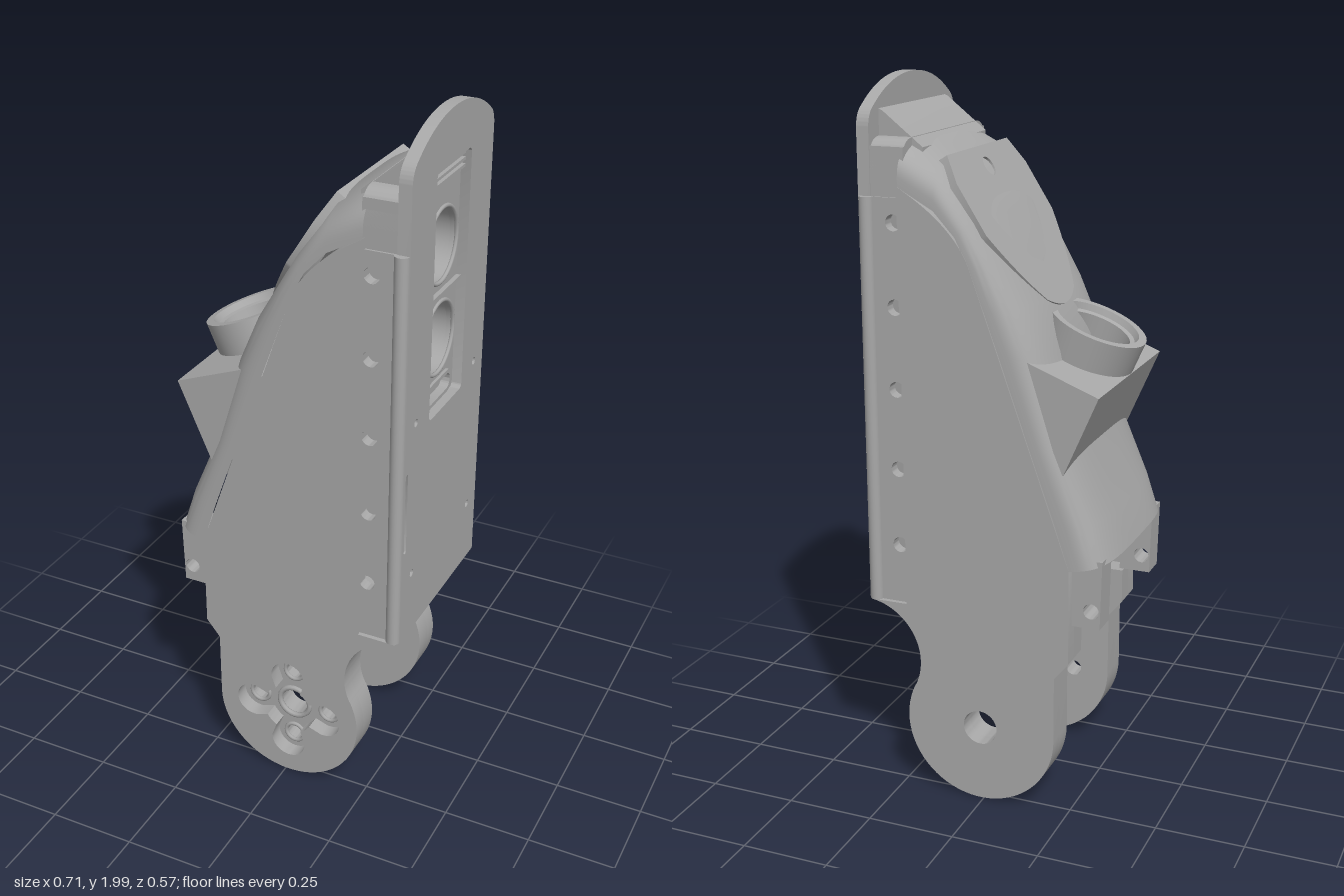
import * as THREE from 'three';
import { toCreasedNormals, mergeVertices } from 'three/addons/utils/BufferGeometryUtils.js';

const grey = new THREE.MeshStandardMaterial({ color: 0xa8a8a8, side: THREE.DoubleSide });
grey.name = 'housing grey';

const V = (x, y) => new THREE.Vector2(x, y);
const poly = (pts) => new THREE.Shape(pts.map(([x, y]) => V(x, y)));

function circleHole(shape, x, y, r) {
  shape.holes.push(new THREE.Path().absarc(x, y, r, 0, Math.PI * 2, true));
}

function roundedRect(path, w, h, x, y, r) {
  const c = [[w / 2 - r, h / 2 - r, 0], [r - w / 2, h / 2 - r, 1], [r - w / 2, r - h / 2, 2], [w / 2 - r, r - h / 2, 3]];
  c.forEach(([cx, cy, q]) => path.absarc(x + cx, y + cy, r, q * Math.PI / 2, (q + 1) * Math.PI / 2, false));
  path.closePath();
  return path;
}

export function createModel() {
  const model = new THREE.Group();
  const add = (name, geometry) => {
    const mesh = new THREE.Mesh(geometry, grey);
    mesh.name = name;
    model.add(mesh);
    return mesh;
  };
  const extrude = (shape, depth) => toCreasedNormals(
    new THREE.ExtrudeGeometry(shape, { depth, bevelEnabled: false, curveSegments: 20 }), 0.5);
  // Profile in x,y pushed along z
  const slab = (name, shape, z0, z1) => add(name, extrude(shape, z1 - z0).translate(0, 0, z0));
  // Symmetric profile in z,y pushed along x
  const panel = (name, shape, x0, x1) => add(name, extrude(shape, x1 - x0).rotateY(Math.PI / 2).translate(x0, 0, 0));
  const box = (name, x0, x1, y0, y1, z0, z1) => add(name, new THREE.BoxGeometry(x1 - x0, y1 - y0, z1 - z0)
    .translate((x0 + x1) / 2, (y0 + y1) / 2, (z0 + z1) / 2));

  // Side walls and legs
  const hub = [0.01, 0.23];
  const legOutline = (full) => {
    const s = new THREE.Shape();
    s.moveTo(-0.25, 0.47);
    s.lineTo(-0.21, 0.42);
    s.absarc(hub[0], hub[1], 0.22, Math.PI, Math.PI * 2 + 0.452, false);
    s.absarc(0.36, 0.40, 0.17, Math.PI + 0.452, 1.69, true);
    if (full) {
      s.lineTo(0.23, 0.57);
      s.lineTo(0.23, 1.73);
      s.quadraticCurveTo(0.07, 1.64, 0.03, 1.53);
      s.lineTo(-0.25, 0.74);
    } else s.lineTo(-0.25, 0.57);
    s.closePath();
    return s;
  };
  // Four-lobed pocket
  const clover = [];
  for (let i = 0; i < 96; i++) {
    const a = -i / 96 * Math.PI * 2;
    const phi = a - Math.round(a / (Math.PI / 2)) * Math.PI / 2;
    const d = 0.112, rho = 0.053, q = rho * rho - (d * Math.sin(phi)) ** 2;
    const r = Math.max(0.078, q > 0 ? d * Math.cos(phi) + Math.sqrt(q) : 0);
    clover.push(V(hub[0] + r * Math.cos(a), hub[1] + r * Math.sin(a)));
  }
  const frontWall = legOutline(true);
  frontWall.holes.push(new THREE.Path(clover));
  slab('frontSideWall', frontWall, 0.235, 0.28);
  const frontLeg = legOutline(false);
  circleHole(frontLeg, ...hub, 0.042);
  for (let i = 0; i < 4; i++) {
    const a = i * Math.PI / 2;
    const x = hub[0] + 0.112 * Math.cos(a), y = hub[1] + 0.112 * Math.sin(a);
    circleHole(frontLeg, x, y, 0.024);
    // Raised rings in the pocket lobes
    add('boltSeat', new THREE.TorusGeometry(0.029, 0.006, 8, 24).translate(x, y, 0.236));
  }
  slab('frontLeg', frontLeg, 0.175, 0.235);
  add('hubRing', new THREE.TorusGeometry(0.048, 0.008, 8, 24).translate(...hub, 0.236));
  const backWall = legOutline(true), backLeg = legOutline(false);
  [backWall, backLeg].forEach((s) => circleHole(s, ...hub, 0.05));
  slab('backSideWall', backWall, -0.28, -0.235);
  slab('backLeg', backLeg, -0.235, -0.175);
  box('floor', -0.2, 0.33, 0.57, 0.585, -0.24, 0.24);

  // Curved cover: [edge x, edge y, ridge x, ridge y, squareness]
  const stations = [
    [-0.25, 0.74, -0.355, 0.76, 3.6], [-0.21, 0.86, -0.32, 0.865, 3.6], [-0.135, 1.07, -0.235, 1.06, 3.4],
    [-0.05, 1.31, -0.17, 1.30, 3.2], [-0.01, 1.42, -0.115, 1.43, 3], [0.03, 1.53, -0.04, 1.55, 3],
    [0.07, 1.61, 0.02, 1.65, 3], [0.13, 1.675, 0.13, 1.80, 3.2], [0.23, 1.73, 0.23, 1.85, 3.2],
  ];
  const N = 36, pos = [], idx = [];
  stations.forEach(([ex, ey, rx, ry, n], j) => {
    for (let i = 0; i <= N; i++) {
      const t = (i / N - 0.5) * Math.PI;
      const z = 0.279 * Math.sign(t) * Math.abs(Math.sin(t)) ** (2 / n);
      const k = Math.max(0, Math.cos(t)) ** (2 / n);
      pos.push(ex + (rx - ex) * k, ey + (ry - ey) * k, z);
      if (j && i) {
        const b = j * (N + 1) + i, a = b - N - 1;
        idx.push(a - 1, a, b, a - 1, b, b - 1);
      }
    }
  });
  const cover = new THREE.BufferGeometry();
  cover.setAttribute('position', new THREE.Float32BufferAttribute(pos, 3));
  cover.setIndex(idx);
  add('cover', toCreasedNormals(mergeVertices(cover), 0.6));

  // Flat raised panel on the upper cover, with a round hole
  const raised = new THREE.Shape();
  raised.moveTo(-0.1, 0.03);
  raised.quadraticCurveTo(0, -0.03, 0.1, 0.03);
  raised.quadraticCurveTo(0.18, 0.12, 0.235, 0.25);
  raised.lineTo(0.235, 0.40);
  raised.lineTo(0.2, 0.48);
  raised.lineTo(-0.2, 0.48);
  raised.lineTo(-0.235, 0.40);
  raised.lineTo(-0.235, 0.25);
  raised.quadraticCurveTo(-0.18, 0.12, -0.1, 0.03);
  circleHole(raised, 0, 0.42, 0.027);
  const slope = new THREE.Vector3(0.26, 0.41, 0).normalize();
  const basis = new THREE.Matrix4().makeBasis(new THREE.Vector3(0, 0, 1), slope,
    new THREE.Vector3(-slope.y, slope.x, 0)).setPosition(-0.13, 1.40, 0);
  add('raisedPanel', extrude(raised, 0.07).translate(0, 0, -0.066).applyMatrix4(basis));

  // Wedge-shaped bracket and the tilted eyepiece tube
  slab('wedge', poly([[-0.225, 1.0], [-0.1, 1.03], [-0.04, 1.28], [-0.1, 1.305], [-0.32, 1.22]]), -0.262, 0.262);
  const tubeProfile = [[0.135, -0.15], [0.14, 0], [0.118, 0], [0.112, -0.018], [0.1, -0.022], [0.1, -0.1], [0, -0.1]];
  const tube = add('eyepieceTube', toCreasedNormals(
    new THREE.LatheGeometry(tubeProfile.map(([r, y]) => V(r, y)), 40), 0.5));
  tube.position.set(-0.225, 1.355, 0);
  tube.rotation.z = 0.38;

  for (const s of [-1, 1]) {
    // Screw clips below the cover
    const clip = poly([[-0.33, 0.575], [-0.24, 0.575], [-0.24, 0.77], [-0.335, 0.77]]);
    circleHole(clip, -0.305, 0.625, 0.022);
    slab('screwClip', clip, s > 0 ? 0.18 : -0.255, s > 0 ? 0.255 : -0.18);

    // Perforated strip and rounded rail beside the face plate
    const strip = poly([[0.225, 0.57], [0.325, 0.57], [0.325, 1.70], [0.225, 1.70]]);
    [0.74, 0.96, 1.185, 1.41, 1.635].forEach((y) => circleHole(strip, 0.25, y, 0.022));
    slab('perforatedStrip', strip, s > 0 ? 0.235 : -0.268, s > 0 ? 0.268 : -0.235);
    add('rail', new THREE.CylinderGeometry(0.02, 0.02, 1.13, 20).translate(0.328, 1.135, s * 0.264));
    box('upperCheek', 0.22, 0.325, 1.70, 1.83, s * 0.25 - 0.012, s * 0.25 + 0.012);
  }

  // Face plate with arched top and instrument window
  const plate = new THREE.Shape();
  plate.moveTo(-0.265, 0.57);
  plate.lineTo(0.265, 0.57);
  plate.lineTo(0.265, 1.87);
  plate.quadraticCurveTo(0.265, 1.91, 0.235, 1.928);
  plate.quadraticCurveTo(0.13, 2.0, 0, 2.0);
  plate.quadraticCurveTo(-0.13, 2.0, -0.235, 1.928);
  plate.quadraticCurveTo(-0.265, 1.91, -0.265, 1.87);
  plate.closePath();
  plate.holes.push(roundedRect(new THREE.Path(), 0.225, 0.68, 0, 1.52, 0.015));
  for (const z of [-0.2, 0.2]) for (const y of [0.76, 1.22]) circleHole(plate, z, y, 0.011);
  plate.holes.push(roundedRect(new THREE.Path(), 0.014, 0.24, -0.25, 0.97, 0.006));
  panel('facePlate', plate, 0.315, 0.35);

  // Recessed instrument panel
  const inset = poly([[-0.115, 1.175], [0.115, 1.175], [0.115, 1.865], [-0.115, 1.865]]);
  circleHole(inset, 0, 1.63, 0.098);
  circleHole(inset, 0, 1.37, 0.098);
  inset.holes.push(roundedRect(new THREE.Path(), 0.15, 0.045, 0, 1.22, 0.022));
  panel('instrumentPanel', inset, 0.305, 0.322);
  for (const y of [1.63, 1.37]) {
    add('lensSleeve', new THREE.CylinderGeometry(0.1, 0.1, 0.12, 36, 1, true).rotateZ(Math.PI / 2).translate(0.25, y, 0));
    add('lensRing', new THREE.TorusGeometry(0.102, 0.006, 8, 40).rotateY(Math.PI / 2).translate(0.322, y, 0));
  }
  const frame = roundedRect(new THREE.Shape(), 0.175, 0.066, 0, 1.22, 0.03);
  frame.holes.push(roundedRect(new THREE.Path(), 0.15, 0.045, 0, 1.22, 0.022));
  panel('slotFrame', frame, 0.32, 0.33);
  box('panelDivider', 0.315, 0.335, 1.495, 1.508, -0.112, 0.112);
  for (const y of [1.812, 1.83, 1.848]) box('louver', 0.315, 0.337, y - 0.004, y + 0.004, -0.105, 0.105);

  // Rounded shoulder and sloped flat behind the arch
  const shoulder = new THREE.Shape();
  shoulder.moveTo(-0.262, 1.75);
  shoulder.lineTo(0.262, 1.75);
  shoulder.lineTo(0.262, 1.80);
  shoulder.quadraticCurveTo(0.26, 1.85, 0.2, 1.85);
  shoulder.lineTo(-0.2, 1.85);
  shoulder.quadraticCurveTo(-0.26, 1.85, -0.262, 1.80);
  panel('shoulder', shoulder, 0.22, 0.32);
  slab('slopedTop', poly([[0.19, 1.76], [0.317, 1.76], [0.317, 1.92], [0.305, 1.915], [0.19, 1.825]]), -0.205, 0.205);

  return model;
}
